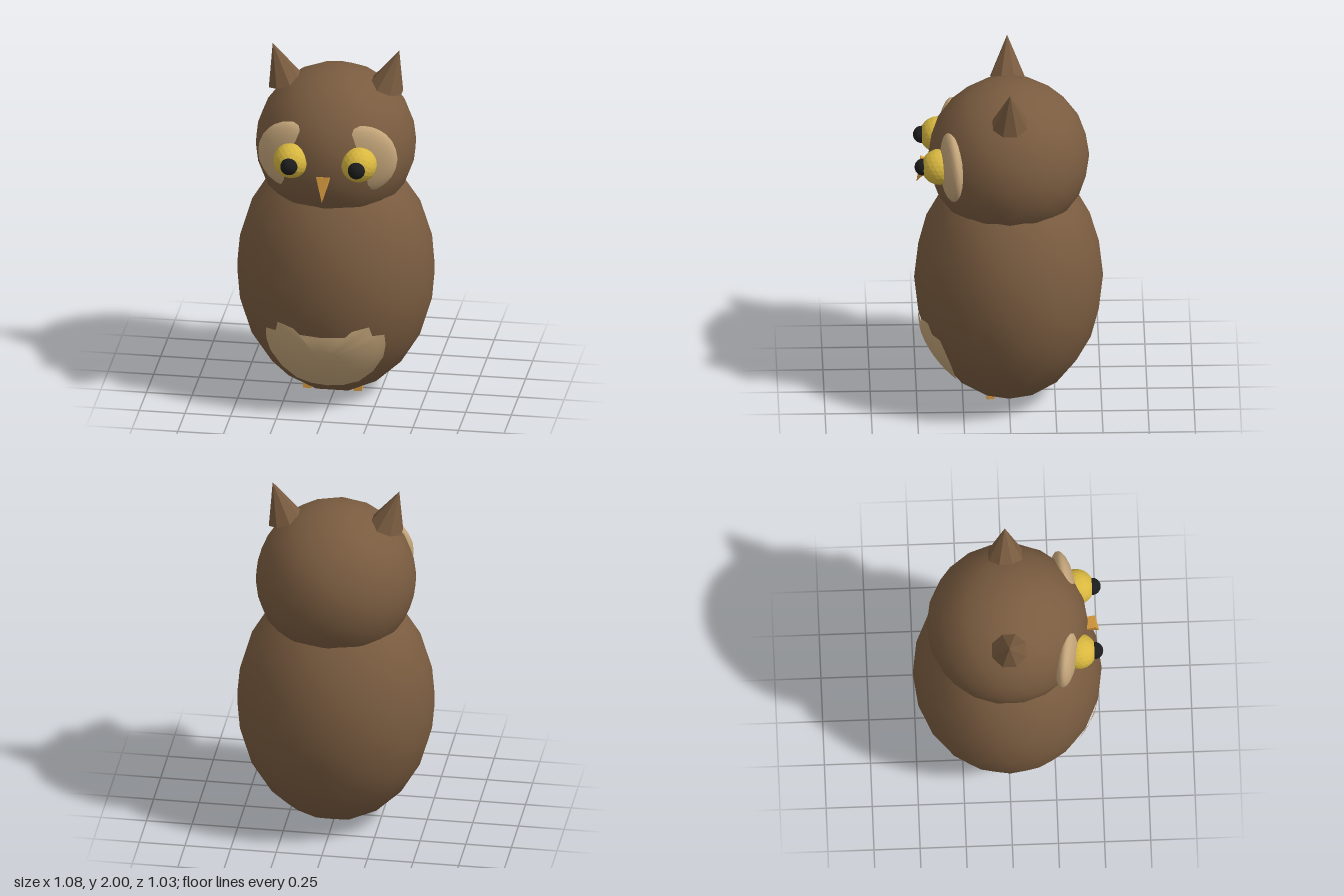
import * as THREE from 'three';

const mat = (name, color) => {
  const m = new THREE.MeshStandardMaterial({ color });
  m.name = name;
  return m;
};

export function createModel() {
  const brown = mat('brown feathers', 0x7a5c40);
  const tan = mat('tan feathers', 0xc4a57a);
  const yellow = mat('yellow eye', 0xd9b83f);
  const black = mat('black pupil', 0x1c1c1c);
  const orange = mat('orange beak', 0xe0a040);

  const owl = new THREE.Group();
  owl.name = 'owl';

  const add = (name, geometry, material, x, y, z) => {
    const mesh = new THREE.Mesh(geometry, material);
    mesh.name = name;
    mesh.position.set(x, y, z);
    owl.add(mesh);
    return mesh;
  };

  // Subdivided icosahedron stretched to an ellipsoid
  const ball = (rx, ry = rx, rz = rx, flat = false) => {
    const g = new THREE.IcosahedronGeometry(1, 3).scale(rx, ry, rz);
    if (flat) g.computeVertexNormals();
    return g;
  };

  // Cone with flat facets, its sides square to the axes
  const spike = (radius, height, sides) => {
    const g = new THREE.ConeGeometry(radius, height, sides, 1, false, Math.PI / sides).toNonIndexed();
    g.computeVertexNormals();
    return g;
  };

  // Body and head
  const R = { x: 0.54, y: 0.705, z: 0.512 };
  add('body', ball(R.x, R.y, R.z), brown, 0, R.y, 0);
  add('head', ball(0.437), brown, 0, 1.445, 0);

  // Belly patch: a shallow dome laid over the body, with a scalloped top edge
  const half = [[0.09, 0.137], [0.17, 0.16], [0.25, 0.23], [0.31, 0.33], [0.327, 0.41], [0.325, 0.485],
    [0.265, 0.49], [0.25, 0.55], [0.16, 0.53], [0.125, 0.495]];
  const outline = [[0, 0.13], ...half, [0, 0.49], ...half.map(([x, y]) => [-x, y]).reverse()];
  const n = outline.length, rings = 8, cy = 0.34;
  const positions = [], index = [];
  for (let r = 0; r <= rings; r++) {
    const s = r / rings;
    outline.forEach(([ox, oy], i) => {
      const x = ox * s, y = cy + (oy - cy) * s;
      const z = R.z * Math.sqrt(1 - (x / R.x) ** 2 - ((y - R.y) / R.y) ** 2);
      positions.push(x, y, z + 0.003 + 0.018 * (1 - s * s));
      if (r === rings) return;
      const a = r * n + i, b = r * n + (i + 1) % n;
      index.push(a, a + n, b + n);
      if (r > 0) index.push(a, b + n, b);
    });
  }
  const patch = new THREE.BufferGeometry();
  patch.setAttribute('position', new THREE.Float32BufferAttribute(positions, 3));
  patch.setIndex(index);
  patch.computeVertexNormals();
  add('bellyPatch', patch, tan, 0, 0, 0);

  // Mirrored parts
  for (const [side, s] of [['left', 1], ['right', -1]]) {
    const disc = add(side + 'EyeDisc', ball(0.195, 0.195, 0.063), tan, s * 0.19, 1.485, 0.315);
    disc.rotation.y = s * 0.17;
    add(side + 'Eye', ball(0.098, 0.098, 0.098, true), yellow, s * 0.185, 1.48, 0.38);
    add(side + 'Pupil', ball(0.047, 0.047, 0.047, true), black, s * 0.185, 1.48, 0.467);

    // Ear tuft leaning outward
    const lean = 0.32, h = 0.23;
    const ear = add(side + 'Ear', spike(0.1, h, 8), brown,
      s * (0.347 - Math.sin(lean) * h / 2), 2 - Math.cos(lean) * h / 2, 0);
    ear.rotation.z = -s * lean;

    add(side + 'Foot', new THREE.BoxGeometry(0.045, 0.04, 0.042), orange, s * 0.138, 0.05, 0.101);
  }

  // Beak pointing down and forward
  const beak = add('beak', spike(0.05, 0.14, 4), orange, 0, 1.355, 0.472);
  beak.rotation.x = Math.PI - 0.4;

  return owl;
}
